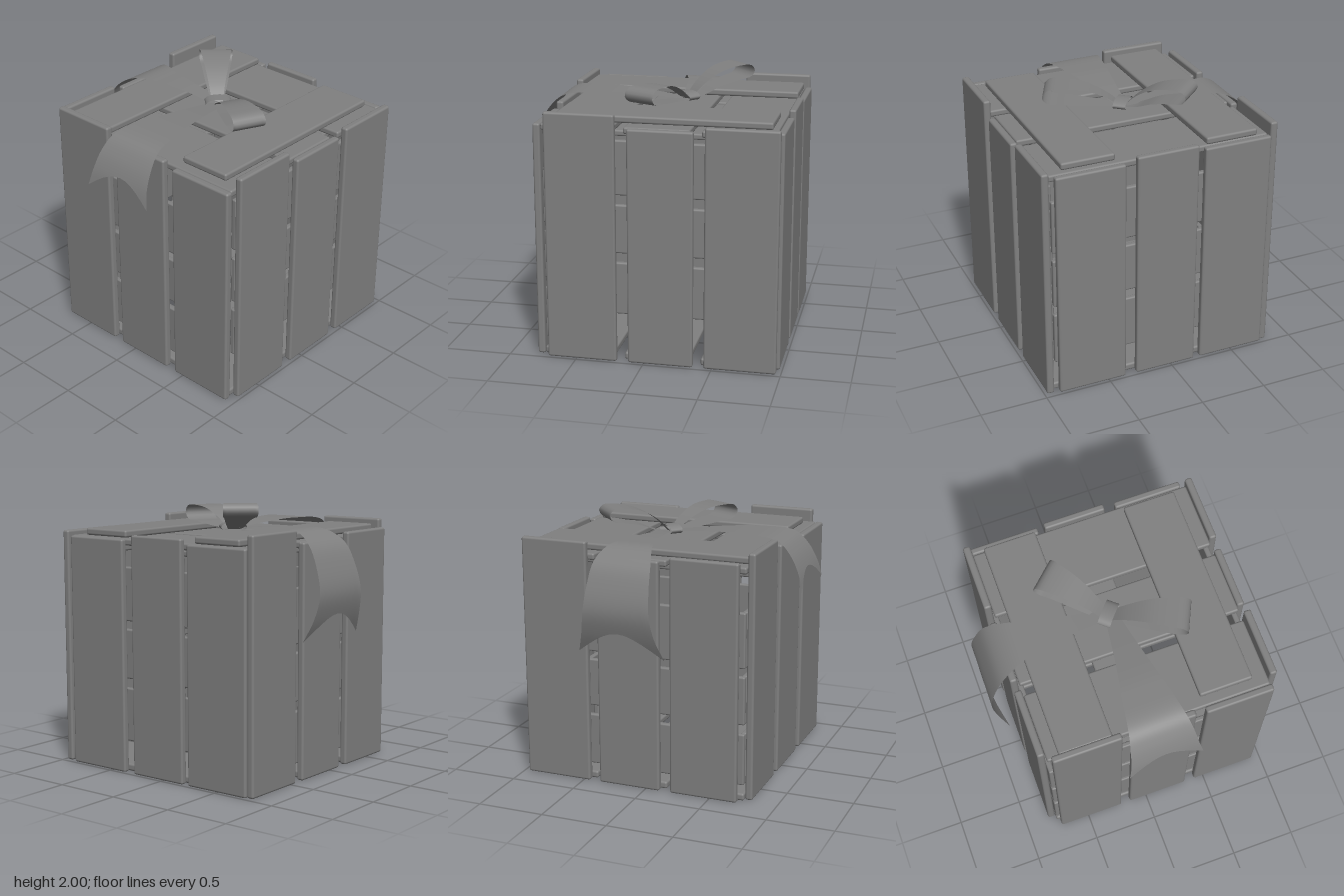
import * as THREE from 'three';
import { RoundedBoxGeometry } from 'three/addons/geometries/RoundedBoxGeometry.js';

const wood = new THREE.MeshStandardMaterial({ color: 0x808080 });
const cloth = new THREE.MeshStandardMaterial({ color: 0x808080, side: THREE.DoubleSide });

// Plank with softened edges, given by its extents on each axis
function plank(parent, name, [x0, x1], [y0, y1], [z0, z1]) {
  const size = [x1 - x0, y1 - y0, z1 - z0];
  const mesh = new THREE.Mesh(new RoundedBoxGeometry(...size, 2, Math.min(...size) * 0.3), wood);
  mesh.position.set((x0 + x1) / 2, (y0 + y1) / 2, (z0 + z1) / 2);
  mesh.name = name;
  parent.add(mesh);
}

// Thin ribbon: points are [distance, height, half width] along a heading in the ground plane.
// The notch holds the middle of the free end back, leaving two pointed corners.
function ribbon(parent, name, [ox, oz], [tx, tz], points, notch = 0) {
  const curve = new THREE.CatmullRomCurve3(points.map((p) => new THREE.Vector3(...p)));
  const rows = 48, cols = 10;
  const len = Math.hypot(tx - ox, tz - oz);
  const dx = (tx - ox) / len, dz = (tz - oz) / len;
  const geo = new THREE.PlaneGeometry(1, 1, cols, rows);
  const pos = geo.attributes.position;
  for (let j = 0, k = 0; j <= rows; j++) {
    for (let i = 0; i <= cols; i++, k++) {
      const v = j / rows, u = (i / cols) * 2 - 1;
      const p = curve.getPointAt(v * (1 - notch * (1 - u * u) * v ** 3));
      pos.setXYZ(k, ox + dx * p.x - dz * u * p.z, p.y, oz + dz * p.x + dx * u * p.z);
    }
  }
  geo.computeVertexNormals();
  const mesh = new THREE.Mesh(geo, cloth);
  mesh.name = name;
  parent.add(mesh);
}

export function createModel() {
  const model = new THREE.Group();
  const crate = new THREE.Group();
  crate.name = 'crate';
  const bow = new THREE.Group();
  bow.name = 'bow';
  model.add(crate, bow);

  // Upright outer planks: [start, end, height]
  const front = [[-0.715, -0.2, 1.83], [-0.115, 0.36, 1.735], [0.44, 0.965, 1.77]];
  const back = [[-0.71, -0.195, 1.77], [-0.11, 0.37, 1.735], [0.45, 0.965, 1.83]];
  const left = [[-0.76, -0.24, 1.735], [-0.19, 0.28, 1.77], [0.365, 0.885, 1.735]];
  const right = [[-0.73, -0.215, 1.83], [-0.14, 0.34, 1.77], [0.42, 0.935, 1.735]];
  for (const [a, b, h] of front) plank(crate, 'frontPlank', [a, b], [0, h], [0.925, 0.98]);
  for (const [a, b, h] of back) plank(crate, 'backPlank', [a, b], [0, h], [-0.815, -0.76]);
  for (const [a, b, h] of left) plank(crate, 'leftPlank', [0.93, 0.982], [0, h], [a, b]);
  for (const [a, b, h] of right) plank(crate, 'rightPlank', [-0.805, -0.75], [0, h], [a, b]);

  // Horizontal boards lining the walls
  for (const y of [[0.35, 0.74], [0.81, 1.17], [1.24, 1.64]])
    plank(crate, 'frontLining', [-0.7, 0.88], y, [0.88, 0.922]);
  for (const y of [[0.23, 0.63], [0.7, 1.07], [1.13, 1.53]])
    plank(crate, 'leftLining', [0.885, 0.927], y, [-0.72, 0.9]);
  for (const y of [[0.12, 0.51], [0.58, 0.94], [1.0, 1.41]]) {
    plank(crate, 'backLining', [-0.747, 0.88], y, [-0.757, -0.715]);
    plank(crate, 'rightLining', [-0.748, -0.71], y, [-0.715, 0.9]);
  }

  // Floor and lid boards running front to back
  for (const x of [[-0.75, -0.23], [-0.15, 0.325], [0.41, 0.925]]) {
    plank(crate, 'floorBoard', x, [0, 0.055], [-0.757, 0.922]);
    plank(crate, 'lidBoard', x, [1.685, 1.735], [-0.757, 0.922]);
  }
  // Cross boards under and over the lid
  for (const z of [[-0.65, -0.28], [-0.21, 0.16], [0.43, 0.8]])
    plank(crate, 'lidCrossBoard', [-0.745, 0.925], [1.64, 1.684], z);
  plank(crate, 'lidBatten', [-0.68, 0.89], [1.737, 1.79], [0.41, 0.81]);
  plank(crate, 'lidBatten', [-0.75, 0.93], [1.737, 1.79], [-0.67, -0.27]);

  // Bow loops, out along the top and back underneath
  ribbon(bow, 'bowLoop', [0.13, 0], [0.51, -0.36], [
    [0, 1.77, 0.04], [0.1, 1.87, 0.06], [0.25, 1.96, 0.09], [0.42, 1.995, 0.115],
    [0.49, 1.99, 0.125], [0.52, 1.95, 0.128], [0.49, 1.905, 0.125], [0.4, 1.885, 0.11],
    [0.25, 1.85, 0.09], [0.1, 1.79, 0.06], [0, 1.77, 0.04]]);
  ribbon(bow, 'bowLoop', [0.12, 0.02], [-0.12, 0.53], [
    [0, 1.77, 0.04], [0.12, 1.85, 0.06], [0.28, 1.915, 0.09], [0.45, 1.93, 0.115],
    [0.54, 1.92, 0.122], [0.58, 1.87, 0.126], [0.54, 1.82, 0.122], [0.4, 1.805, 0.11],
    [0.2, 1.785, 0.075], [0, 1.77, 0.04]]);

  // Tails draped over the back and right walls
  ribbon(bow, 'backTail', [0.13, 0], [0.145, -0.98], [
    [0, 1.78, 0.045], [0.25, 1.803, 0.07], [0.5, 1.812, 0.105], [0.72, 1.8, 0.17],
    [0.86, 1.71, 0.22], [0.94, 1.55, 0.24], [0.98, 1.37, 0.257], [0.95, 1.2, 0.285],
    [0.89, 1.04, 0.335]], 0.12);
  ribbon(bow, 'rightTail', [0.1, 0.03], [-0.98, 0.055], [
    [0, 1.78, 0.05], [0.3, 1.81, 0.1], [0.6, 1.825, 0.16], [0.88, 1.8, 0.215],
    [0.98, 1.71, 0.24], [1.05, 1.58, 0.26], [1.085, 1.45, 0.285]], 0.11);

  // Knot: a short band wrapped round the middle of the bow
  ribbon(bow, 'knot', [0.125, 0.015], [0.2, 0.08], [
    [0, 1.765, 0.048], [0.08, 1.768, 0.048], [0.1, 1.79, 0.048], [0.075, 1.813, 0.048],
    [0, 1.825, 0.048], [-0.075, 1.813, 0.048], [-0.1, 1.79, 0.048], [-0.08, 1.768, 0.048],
    [0, 1.765, 0.048]]);

  return model;
}
